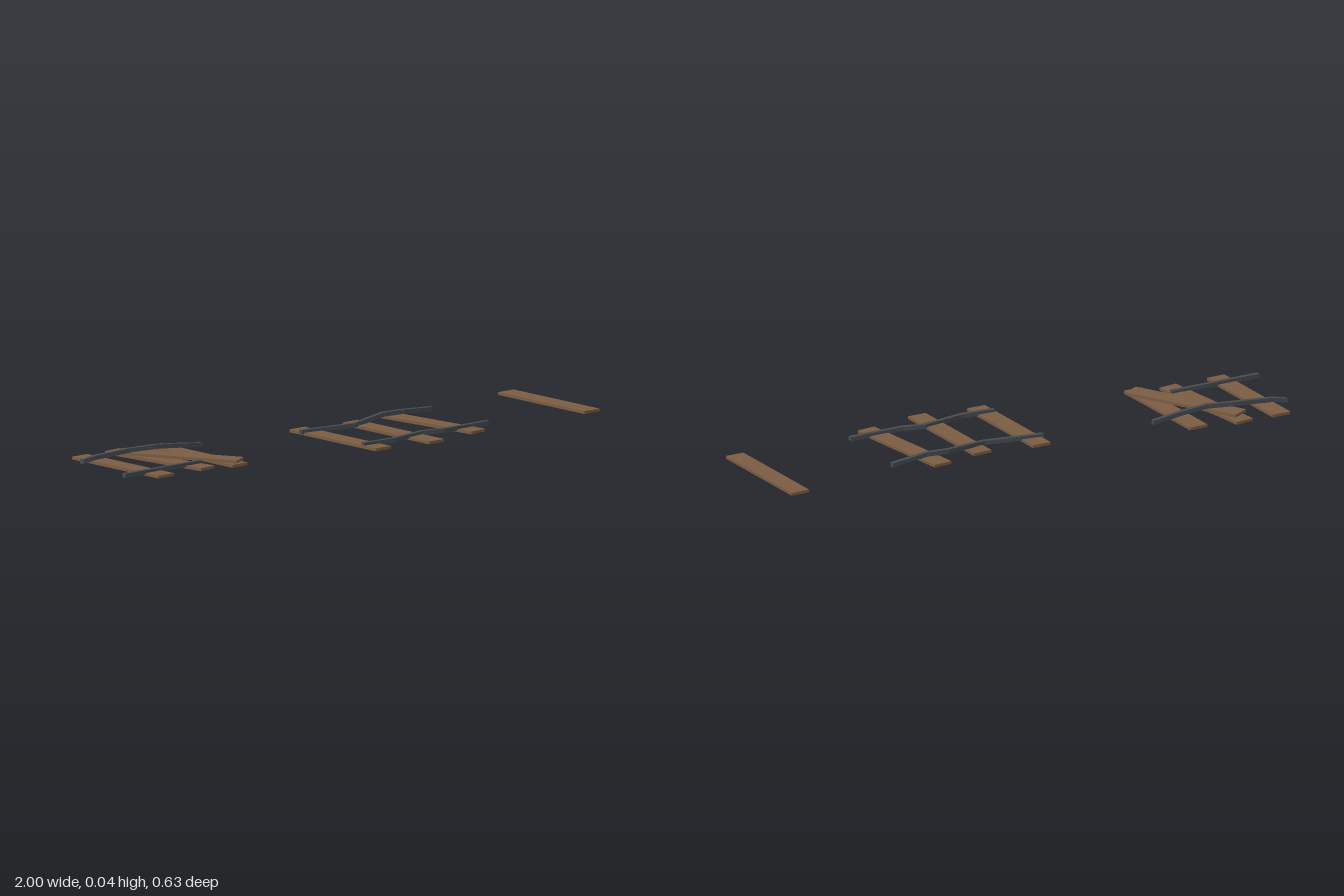
import * as THREE from 'three';

const wood = new THREE.MeshStandardMaterial({ color: 0x7a5c42, flatShading: true });
const iron = new THREE.MeshStandardMaterial({ color: 0x454b50, flatShading: true });

// Flat wooden sleeper, turned about y
function sleeper(name, x, z, turn = 0, y = 0.005) {
  const mesh = new THREE.Mesh(new THREE.BoxGeometry(0.07, 0.01, 0.445), wood);
  mesh.name = name;
  mesh.position.set(x, y, z);
  mesh.rotation.y = turn;
  return mesh;
}

// Bent rail: a segmented bar whose rings are moved onto the points [x, top y, z]
function rail(name, points) {
  const n = points.length - 1, height = 0.015, width = 0.016;
  const geo = new THREE.BoxGeometry(1, height, width, n, 1, 1);
  const pos = geo.attributes.position;
  for (let i = 0; i < pos.count; i++) {
    const [x, top, z] = points[Math.round((pos.getX(i) + 0.5) * n)];
    pos.setXYZ(i, x, top - height / 2 + pos.getY(i), z + pos.getZ(i));
  }
  geo.computeVertexNormals();
  const mesh = new THREE.Mesh(geo, iron);
  mesh.name = name;
  return mesh;
}

function section(name, ...parts) {
  const group = new THREE.Group();
  group.name = name;
  group.add(...parts);
  return group;
}

export function createModel() {
  const model = new THREE.Group();
  model.name = 'brokenTrack';

  model.add(
    // Most damaged stretch, with one sleeper thrown across the others
    section('wreckedSection',
      sleeper('sleeperOuter', -0.87, -0.091),
      sleeper('sleeperSkewed', -0.701, -0.091, 0.105),
      sleeper('sleeperInner', -0.557, -0.06),
      sleeper('sleeperLoose', -0.637, -0.06, 0.486, 0.015),
      rail('frontRail', [[-1, 0.02, 0.059], [-0.65, 0.02, 0.059]]),
      rail('backRail', [
        [-0.95, 0.021, -0.214], [-0.9, 0.03, -0.205], [-0.75, 0.038, -0.193],
        [-0.65, 0.04, -0.173], [-0.56, 0.032, -0.17], [-0.44, 0.018, -0.17],
      ])),
    // Buckled middle stretch
    section('buckledSection',
      sleeper('sleeperOuter', 0, 0.057),
      sleeper('sleeperMiddle', 0.217, 0.09),
      sleeper('sleeperSkewed', 0.417, 0.057, 0.105),
      rail('frontRail', [
        [-0.03, 0.02, 0.208], [0.095, 0.02, 0.218], [0.26, 0.02, 0.19],
        [0.34, 0.02, 0.21], [0.545, 0.02, 0.21],
      ]),
      rail('backRail', [
        [-0.045, 0.02, -0.096], [0, 0.02, -0.09], [0.17, 0.021, -0.06],
        [0.335, 0.031, -0.097], [0.42, 0.031, -0.088], [0.56, 0.02, -0.097],
      ])),
    // Lone sleeper at the far end
    sleeper('loneSleeper', 0.965, 0.057));

  return model;
}
